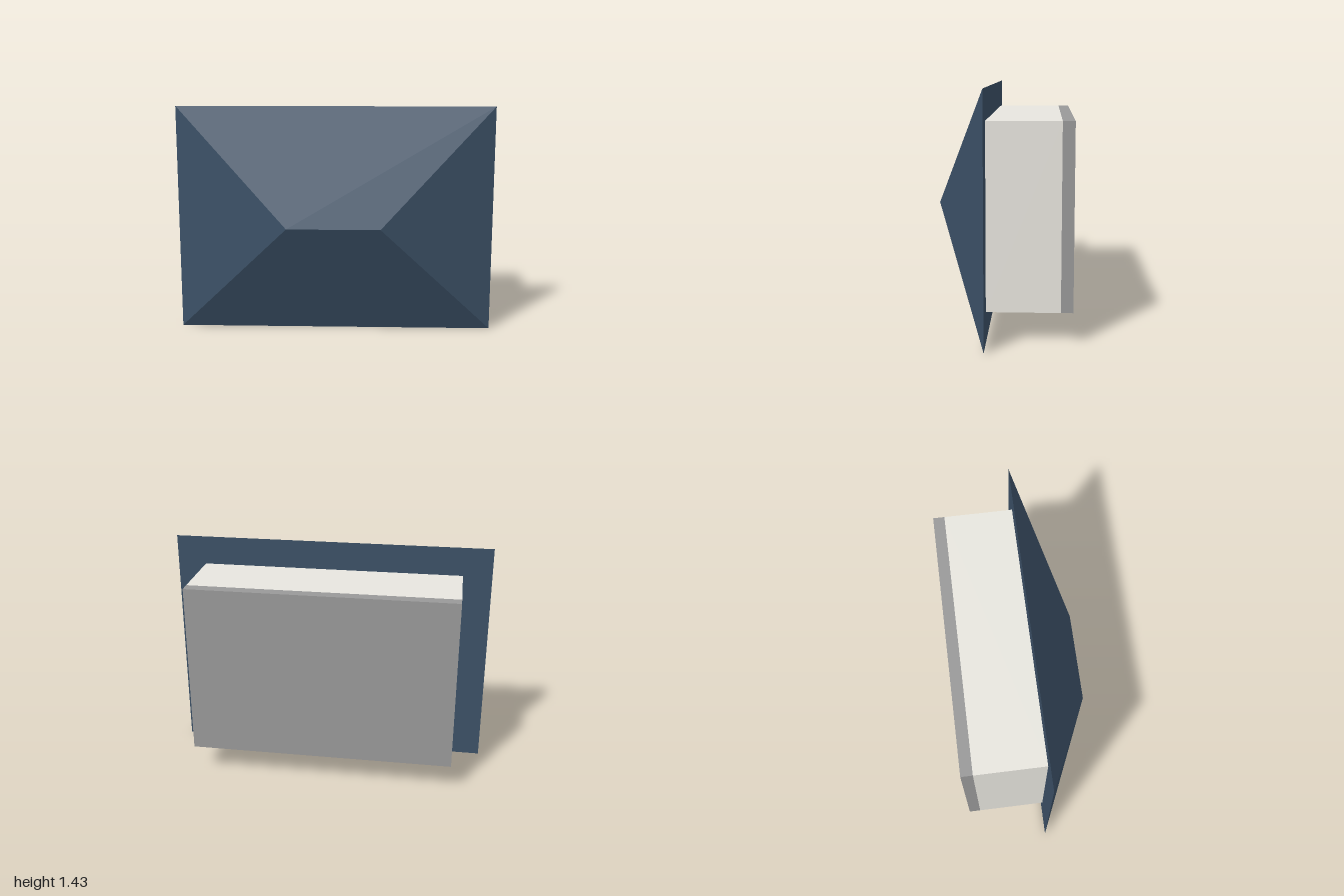
import * as THREE from 'three';

const paint = (color) => new THREE.MeshStandardMaterial({ color, flatShading: true });

// Box given by its [min, max] range on each axis
function block(name, [x0, x1], [y0, y1], [z0, z1], color) {
  const mesh = new THREE.Mesh(new THREE.BoxGeometry(x1 - x0, y1 - y0, z1 - z0), paint(color));
  mesh.position.set((x0 + x1) / 2, (y0 + y1) / 2, (z0 + z1) / 2);
  mesh.name = name;
  return mesh;
}

// Hipped roof: a box whose front face is pinched into a ridge along x
function hipRoof(width, height, depth, ridge) {
  const geometry = new THREE.BoxGeometry(width, height, depth);
  const p = geometry.attributes.position;
  for (let i = 0; i < p.count; i++) {
    if (p.getZ(i) > 0) p.setXY(i, Math.sign(p.getX(i)) * ridge / 2, 0);
  }
  geometry.computeVertexNormals();
  return geometry;
}

export function createModel() {
  const house = new THREE.Group();
  house.name = 'house';

  // The house lies on its side: roof towards +z, foundation towards -z
  const sideX = [-0.82, 0.82], sideY = [0.18, 1.255];
  const eaves = 0.087, floor = -0.335, end = 0.405;

  house.add(block('foundation', sideX, sideY, [-end, floor], 0x999999));
  house.add(block('walls', sideX, sideY, [floor, eaves], 0xe8e6df));

  const roof = new THREE.Mesh(hipRoof(2, 1.435, end - eaves, 0.57), paint(0x3c5167));
  roof.position.set(0, 1.435 / 2, (eaves + end) / 2);
  roof.name = 'roof';
  house.add(roof);

  // Thin panels on the facade, which faces down
  const panelY = [0.177, 0.187];
  house.add(block('window', [0.307, 0.677], panelY, [-0.29, 0.07], 0x404040));
  house.add(block('door', [-0.595, -0.11], panelY, [floor, 0.08], 0x80452b));

  return house;
}
